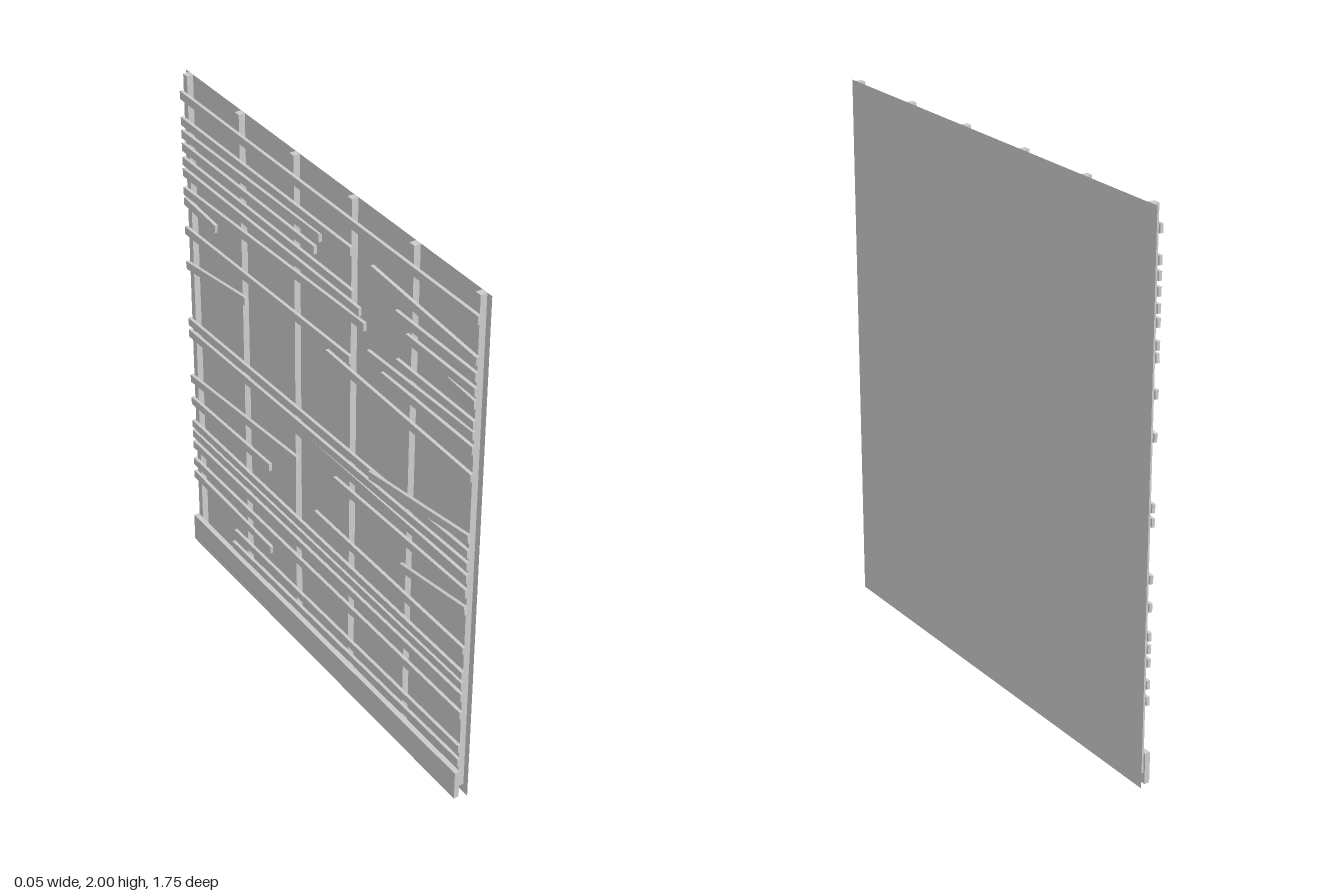
import * as THREE from 'three';

const END = 0.86;
const LATH_X = -0.006;

export function createModel() {
  const model = new THREE.Group();
  const mat = new THREE.MeshStandardMaterial({ color: 0xcccccc, flatShading: true });
  const sheetMat = new THREE.MeshStandardMaterial({ color: 0xcccccc, side: THREE.DoubleSide });

  const box = (name, sx, sy, sz, x, y, z) => {
    const mesh = new THREE.Mesh(new THREE.BoxGeometry(sx, sy, sz), mat);
    mesh.name = name;
    mesh.position.set(x, y, z);
    model.add(mesh);
    return mesh;
  };

  // Thin wall sheet on the outer side
  const sheet = new THREE.Mesh(new THREE.PlaneGeometry(1.75, 2), sheetMat);
  sheet.name = 'wallSheet';
  sheet.rotation.y = Math.PI / 2;
  sheet.position.set(0.025, 1, 0);
  model.add(sheet);

  // Upright studs
  for (let i = 0; i < 6; i++) {
    box('stud', 0.024, 1.96, 0.025, 0.012, 1.02, -0.84 + i * 0.336);
  }

  // Skirting board
  box('skirtingBoard', 0.02, 0.115, END * 2, -0.01, 0.0575, 0);

  // A lath runs from (z0, y0) to (z1, y1); x0 and x1 let a loose end spring out of the wall
  const lath = (z0, y0, z1, y1, x0 = LATH_X, x1 = LATH_X) => {
    const a = new THREE.Vector3(x0, y0, z0);
    const b = new THREE.Vector3(x1, y1, z1);
    const mid = a.clone().add(b).multiplyScalar(0.5);
    const mesh = box('lath', 0.012, 0.031, a.distanceTo(b), mid.x, mid.y, mid.z);
    mesh.lookAt(b);
  };

  // Whole laths: height at the back end, height at the front end
  const whole = [
    [1.92, 1.92], [1.0, 1.05], [0.95, 1.0],
    [0.545, 0.545], [0.5, 0.5], [0.45, 0.45], [0.37, 0.37],
  ];
  whole.forEach(([y0, y1]) => lath(-END, y0, END, y1));

  // Broken laths still fixed at the back: height, broken end z, height there
  const backPieces = [
    [1.82, 0.19, 1.82], [1.77, 0.01, 1.78], [1.72, -0.02, 1.72],
    [1.665, 0.2, 1.665], [1.62, 0.24, 1.62], [1.545, 0.27, 1.58],
    [1.505, -0.65, 1.49], [1.385, 0.19, 1.41], [1.24, -0.46, 1.295],
    [0.75, -0.135, 0.81], [0.65, -0.315, 0.67], [0.31, -0.315, 0.295],
  ];
  backPieces.forEach(([y0, z1, y1]) => lath(-END, y0, z1, y1));

  // Broken laths still fixed at the front: broken end z, height there, height at front, sprung x
  const frontPieces = [
    [0.32, 1.825, 1.775, -0.018], [0.44, 1.72, 1.72], [0.5, 1.665, 1.665],
    [0.7, 1.61, 1.62, 0.012], [0.45, 1.545, 1.545], [0.29, 1.49, 1.505],
    [0.37, 1.45, 1.45], [0.05, 1.36, 1.345], [0.33, 1.04, 1.11, -0.02],
    [-0.4, 0.94, 0.95], [0.1, 0.87, 0.89], [0.5, 0.76, 0.82],
    [-0.02, 0.65, 0.65], [-0.56, 0.22, 0.22, -0.012], [-0.57, 0.16, 0.16, -0.016],
  ];
  frontPieces.forEach(([z0, y0, y1, x0]) => lath(z0, y0, END, y1, x0));

  return model;
}
